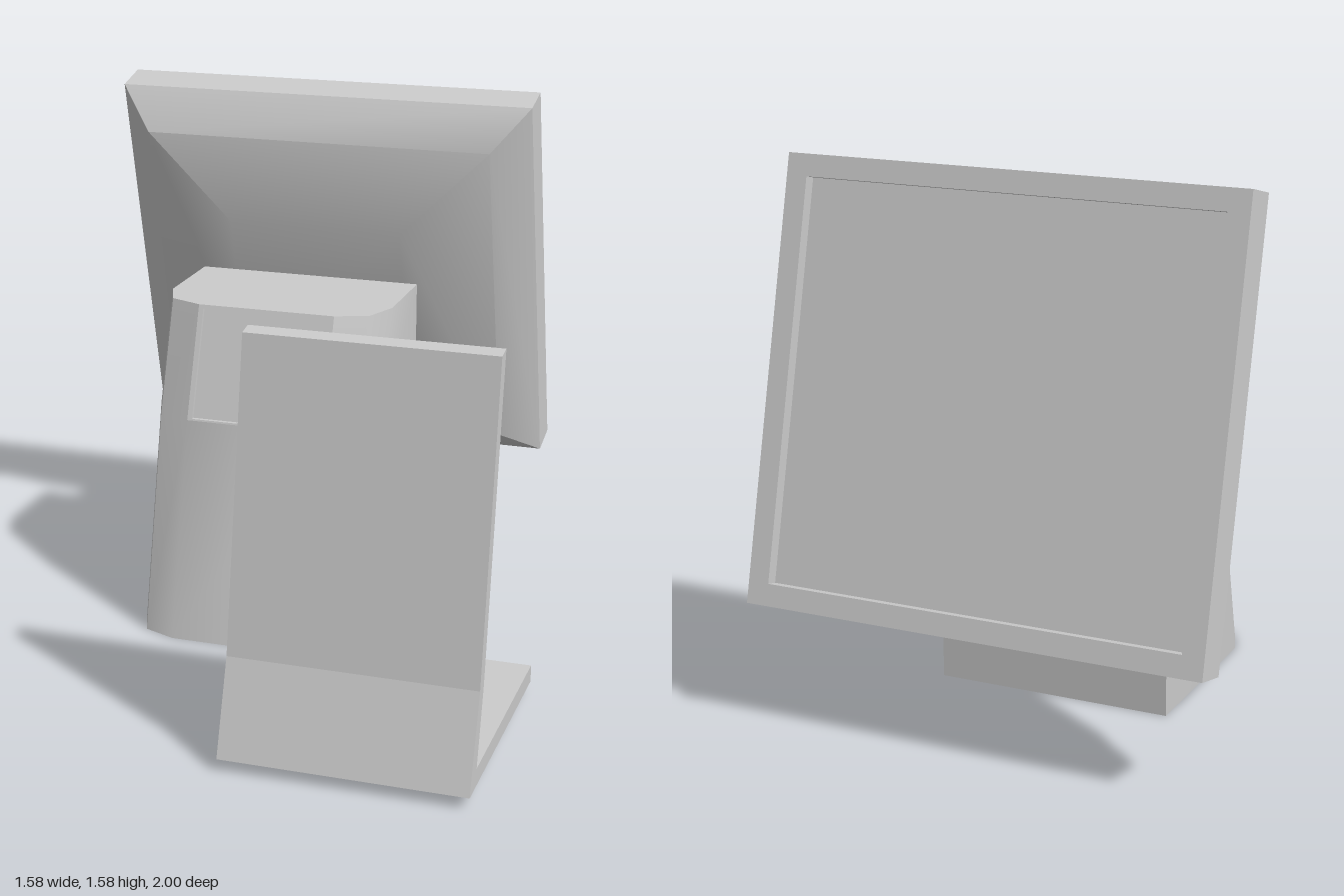
import * as THREE from 'three';
import { toCreasedNormals } from 'three/addons/utils/BufferGeometryUtils.js';

const material = new THREE.MeshStandardMaterial({ color: 0xcccccc });

function addMesh(parent, name, geometry) {
  const mesh = new THREE.Mesh(geometry, material);
  mesh.name = name;
  parent.add(mesh);
  return mesh;
}

// Skins a row of closed loops of [x, y, z] points; skip(band, side) leaves a quad open.
function loft(loops, { capStart = true, capEnd = true, skip = () => false } = {}) {
  const out = [];
  const tri = (a, b, c) => out.push(...a, ...b, ...c);
  const cap = (l) => { for (let i = 1; i < l.length - 1; i++) tri(l[0], l[i], l[i + 1]); };
  for (let k = 0; k < loops.length - 1; k++) {
    const a = loops[k], b = loops[k + 1];
    a.forEach((p, i) => {
      if (skip(k, i)) return;
      const j = (i + 1) % a.length;
      tri(p, a[j], b[j]);
      tri(p, b[j], b[i]);
    });
  }
  if (capStart) cap([...loops[0]].reverse());
  if (capEnd) cap(loops[loops.length - 1]);
  const g = new THREE.BufferGeometry();
  g.setAttribute('position', new THREE.Float32BufferAttribute(out, 3));
  return toCreasedNormals(g, THREE.MathUtils.degToRad(33));
}

// Tilted screen housing: recessed display, rim, bevel and domed back.
function addScreen(group) {
  const rect = (w, h, z) => [[-w, -h, z], [w, -h, z], [w, h, z], [-w, h, z]];
  const W = 0.675, H = 0.6235;
  const screen = addMesh(group, 'screenHousing', loft([
    rect(W - 0.062, H - 0.062, 0.036),
    rect(W - 0.062, H - 0.062, 0),
    rect(W, H, 0),
    rect(W, H, 0.119),
    rect(W - 0.112, H - 0.112, 0.229),
    rect((W - 0.112) * 0.5, (H - 0.112) * 0.48, 0.299),
  ]));
  screen.position.set(-0.115, 0.97, -0.85);
  screen.rotation.x = 0.2433;
}

// Pedestal with a leaning front, rounded front corners and a shallow window.
function addPedestal(group) {
  const cx = -0.12, back = -0.465;
  const levels = [[0, 0.235], [0.655, 0.078], [0.99, -0.038]];
  const corner = [[0.215, 0], [0.315, -0.04], [0.355, -0.143]];
  const section = ([y, front]) => {
    const right = [...corner.map(([x, dz]) => [x, front + dz]), [0.355, back]];
    const left = right.map(([x, z]) => [-x, z]).reverse();
    const loop = [left[3], ...right, ...left.slice(0, 3)];
    return loop.map(([x, z]) => [cx + x, y, z]);
  };
  addMesh(group, 'pedestal', loft(levels.map(section), { skip: (k, i) => k === 1 && i === 0 }));

  // Upper front face with its recess
  const [[y0, z0], [y1, z1]] = levels.slice(1);
  const face = (w, bottom, top, depth) => [[-w, bottom], [-w, top], [w, top], [w, bottom]].map(
    ([x, y]) => [cx + x, y, z0 + (z1 - z0) * (y - y0) / (y1 - y0) - depth]);
  const window = loft([
    face(0.2, 0.66, 0.979, 0.012),
    face(0.2, 0.66, 0.979, 0),
    face(0.215, y0, y1, 0),
  ], { capEnd: false });
  addMesh(group, 'pedestalWindow', window);
}

// Horizontal barrel joining pedestal and screen.
function addHinge(group) {
  const hinge = addMesh(group, 'hinge', new THREE.CylinderGeometry(0.138, 0.138, 0.54, 32));
  hinge.rotation.z = Math.PI / 2;
  hinge.position.set(-0.115, 0.818, -0.475);
}

// Separate bent plate: flat foot and leaning panel, profile drawn as (z, y).
function addPlate(group) {
  const profile = [
    [0.265, 0.035], [1.0, 0.035], [0.912, 0.3], [0.765, 1.167],
    [0.72, 1.175], [0.87, 0.3], [0.928, 0.085], [0.265, 0.085],
  ];
  const shape = new THREE.Shape(profile.map(([z, y]) => new THREE.Vector2(z, y)));
  const geometry = new THREE.ExtrudeGeometry(shape, { depth: 0.7, bevelEnabled: false });
  geometry.rotateY(-Math.PI / 2);
  addMesh(group, 'bentPlate', geometry).position.x = 0.79;
}

export function createModel() {
  const group = new THREE.Group();
  group.name = 'counterTerminal';
  addScreen(group);
  addPedestal(group);
  addHinge(group);
  addPlate(group);
  return group;
}
